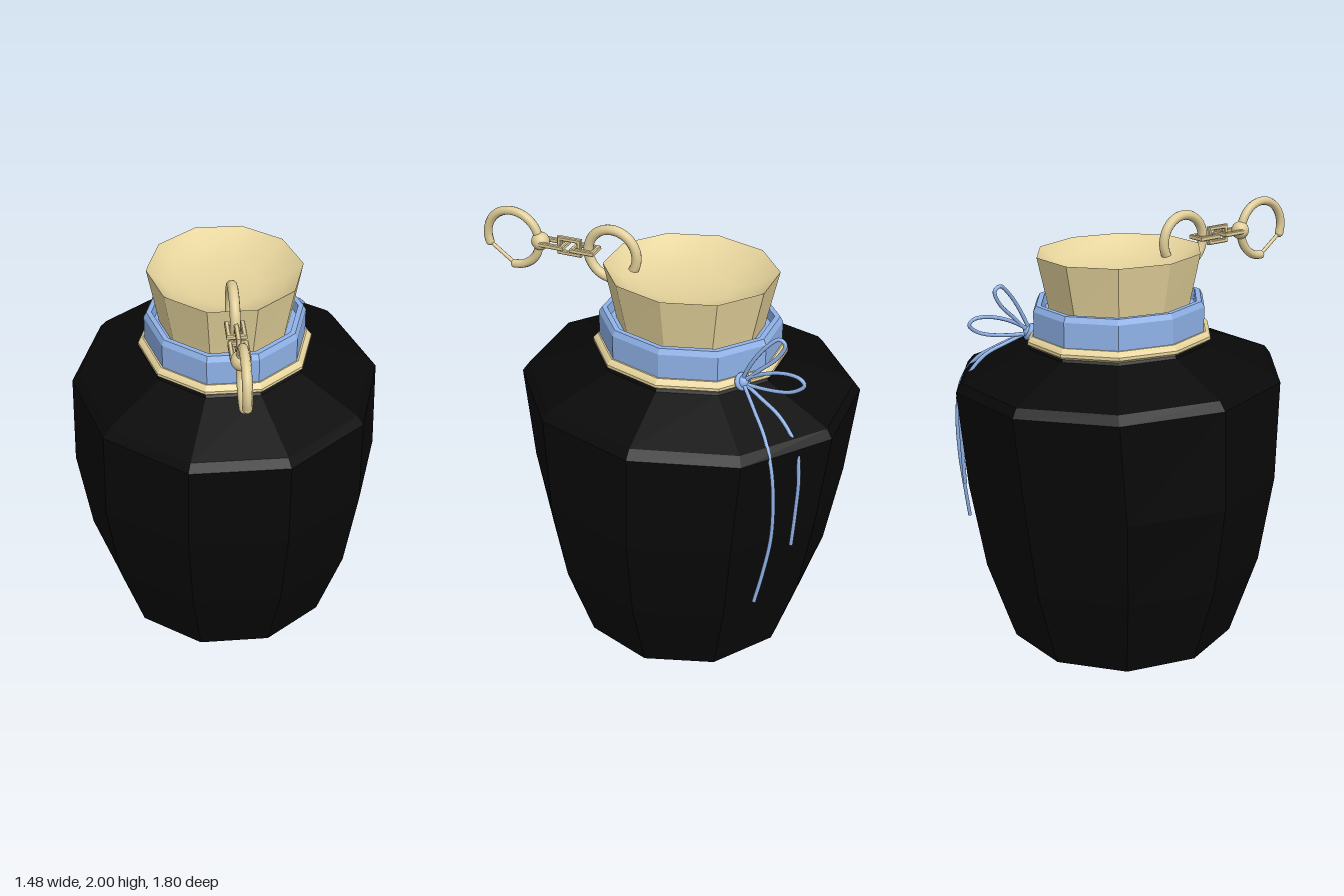
import * as THREE from 'three';
import { mergeVertices } from 'three/addons/utils/BufferGeometryUtils.js';

const SIDES = 10;
const CENTER_Z = -0.142; // axis of the jar
const CHAIN_Y = 1.852;

const mat = (color, flatShading = false) =>
  new THREE.MeshStandardMaterial({ color, flatShading, side: THREE.DoubleSide });

function add(group, name, geometry, material, x = 0, y = 0, z = 0) {
  const mesh = new THREE.Mesh(geometry, material);
  mesh.name = name;
  mesh.position.set(x, y, z);
  group.add(mesh);
  return mesh;
}

// Skin over ten-sided oval rings given as [y, radiusX, radiusZ], lowest first
function loft(rings, smooth = false) {
  const point = ([y, rx, rz], i) => {
    const a = ((i % SIDES) / SIDES) * Math.PI * 2;
    return [rx * Math.cos(a), y, rz * Math.sin(a)];
  };
  const pos = [];
  for (let r = 0; r < rings.length - 1; r++) {
    const lo = rings[r], up = rings[r + 1];
    for (let i = 0; i < SIDES; i++) {
      if (lo[1] > 0) pos.push(...point(lo, i), ...point(up, i), ...point(lo, i + 1));
      if (up[1] > 0) pos.push(...point(lo, i + 1), ...point(up, i), ...point(up, i + 1));
    }
  }
  let g = new THREE.BufferGeometry();
  g.setAttribute('position', new THREE.Float32BufferAttribute(pos, 3));
  if (smooth) g = mergeVertices(g, 1e-4);
  g.computeVertexNormals();
  return g;
}

// Smooth cord through points
function cord(points, radius, closed = false, segments = 48) {
  const curve = new THREE.CatmullRomCurve3(points.map(p => new THREE.Vector3(...p)), closed);
  return new THREE.TubeGeometry(curve, segments, radius, 8, closed);
}

// Square chain link made from an extruded frame, lying in the XY plane
function squareLink(w, h, bar, depth) {
  const rect = (path, a, b) => path.moveTo(-a, -b).lineTo(a, -b).lineTo(a, b).lineTo(-a, b).closePath();
  const shape = new THREE.Shape();
  rect(shape, w / 2, h / 2);
  const hole = new THREE.Path();
  rect(hole, w / 2 - bar, h / 2 - bar);
  shape.holes.push(hole);
  const bevel = 0.004;
  return new THREE.ExtrudeGeometry(shape, {
    depth: depth - 2 * bevel, bevelEnabled: true, bevelSize: bevel,
    bevelThickness: bevel, bevelOffset: -bevel, bevelSegments: 1,
  }).translate(0, 0, -depth / 2 + bevel);
}

export function createModel() {
  const model = new THREE.Group();
  model.name = 'corkedJar';
  const black = mat(0x080808, true);
  const cork = mat(0xe6d49c, true), corkSmooth = mat(0xe6d49c);
  const blue = mat(0x8fb2e8, true), blueSmooth = mat(0x8fb2e8);
  const metal = mat(0xe0cd98);

  // Jar body
  add(model, 'jarBody', loft([
    [0, 0, 0], [0, 0.55, 0.545], [0.04, 0.562, 0.56], [0.4, 0.68, 0.677], [0.82, 0.742, 0.748],
    [1.28, 0.727, 0.797], [1.32, 0.69, 0.768], [1.44, 0.4, 0.445], [1.5, 0.36, 0.4], [1.5, 0, 0],
  ]), black, 0, 0, CENTER_Z);

  // Rim around the neck
  add(model, 'neckRim', loft([
    [1.44, 0.34, 0.38], [1.445, 0.387, 0.432], [1.455, 0.394, 0.44], [1.464, 0.408, 0.453],
    [1.478, 0.408, 0.453], [1.49, 0.398, 0.443], [1.5, 0.385, 0.43], [1.5, 0.34, 0.38],
  ]), cork, 0, 0, CENTER_Z);

  // Cloth band
  add(model, 'neckBand', loft([
    [1.495, 0.34, 0.38], [1.5, 0.377, 0.424], [1.615, 0.377, 0.424], [1.64, 0.364, 0.41],
    [1.64, 0.34, 0.385], [1.59, 0.335, 0.38], [1.59, 0.28, 0.32],
  ]), blue, 0, 0, CENTER_Z);

  // Cork with a hollowed top
  add(model, 'corkSide', loft([
    [1.57, 0.303, 0.338], [1.65, 0.318, 0.354], [1.86, 0.358, 0.4],
  ]), cork, 0, 0, CENTER_Z);
  add(model, 'corkHollow', loft([
    [1.86, 0.358, 0.4], [1.8, 0.285, 0.315], [1.77, 0.17, 0.19], [1.76, 0, 0],
  ], true), corkSmooth, 0, 0, CENTER_Z);

  // Chain: ring through the cork
  const chain = new THREE.Group();
  chain.name = 'chain';
  model.add(chain);
  const ringGeo = new THREE.TorusGeometry(0.12, 0.023, 12, 40).rotateY(Math.PI / 2);
  add(chain, 'corkRing', ringGeo, metal, 0, CHAIN_Y, 0.242);

  // Chain: alternating flat and upright links
  for (const [z, length, upright] of [[0.378, 0.12, false], [0.457, 0.12, true], [0.535, 0.125, false]]) {
    const link = add(chain, 'chainLink', squareLink(0.088, length, 0.02, 0.022), metal, 0, CHAIN_Y, z);
    link.rotation.set(Math.PI / 2, upright ? Math.PI / 2 : 0, 0);
  }
  add(chain, 'claspBall', new THREE.SphereGeometry(0.043, 18, 12), metal, 0, CHAIN_Y, 0.607);

  // Chain: open clasp with a thin gate across the gap
  const claspPoint = deg => {
    const a = THREE.MathUtils.degToRad(deg);
    return [0, 1.845 + 0.134 * Math.sin(a), 0.748 + 0.134 * Math.cos(a)];
  };
  const arc = [];
  for (let i = 0; i <= 20; i++) arc.push(claspPoint(-18 + i * 14.4));
  add(chain, 'claspHook', cord(arc, 0.021, false, 60), metal);
  const gateEnds = [arc[0], arc[20]];
  add(chain, 'claspGate', cord(gateEnds, 0.009, false, 2), metal);
  for (const p of gateEnds) add(chain, 'claspTip', new THREE.SphereGeometry(0.021, 10, 8), metal, ...p);

  // Bow: knot, two loops and two hanging tails
  const bow = new THREE.Group();
  bow.name = 'bow';
  model.add(bow);
  const knot = [0.24, 1.485, -0.485];
  add(bow, 'knot', new THREE.SphereGeometry(0.03, 12, 8), blueSmooth, ...knot);
  const wrap = add(bow, 'knotWrap', new THREE.TorusGeometry(0.03, 0.012, 8, 20), blueSmooth, ...knot);
  wrap.rotation.set(0.5, -0.45, 0);
  add(bow, 'upperLoop', cord([
    knot, [0.25, 1.59, -0.525], [0.245, 1.685, -0.59], [0.235, 1.725, -0.64], [0.235, 1.705, -0.668],
    [0.24, 1.64, -0.64], [0.245, 1.56, -0.56],
  ], 0.009, true, 64), blueSmooth);
  add(bow, 'lowerLoop', cord([
    knot, [0.25, 1.545, -0.57], [0.265, 1.583, -0.68], [0.28, 1.582, -0.755], [0.285, 1.558, -0.778],
    [0.285, 1.515, -0.73], [0.265, 1.485, -0.61],
  ], 0.009, true, 64), blueSmooth);
  add(bow, 'longTail', cord([
    knot, [0.34, 1.42, -0.575], [0.43, 1.345, -0.66], [0.485, 1.23, -0.713], [0.5, 1.08, -0.733],
    [0.5, 0.88, -0.732], [0.51, 0.68, -0.705], [0.525, 0.52, -0.676],
  ], 0.009), blueSmooth);
  add(bow, 'shortTail', cord([
    knot, [0.275, 1.445, -0.58], [0.315, 1.39, -0.69], [0.345, 1.28, -0.775], [0.36, 1.15, -0.8],
    [0.365, 0.95, -0.797], [0.37, 0.77, -0.788],
  ], 0.009), blueSmooth);

  return model;
}
